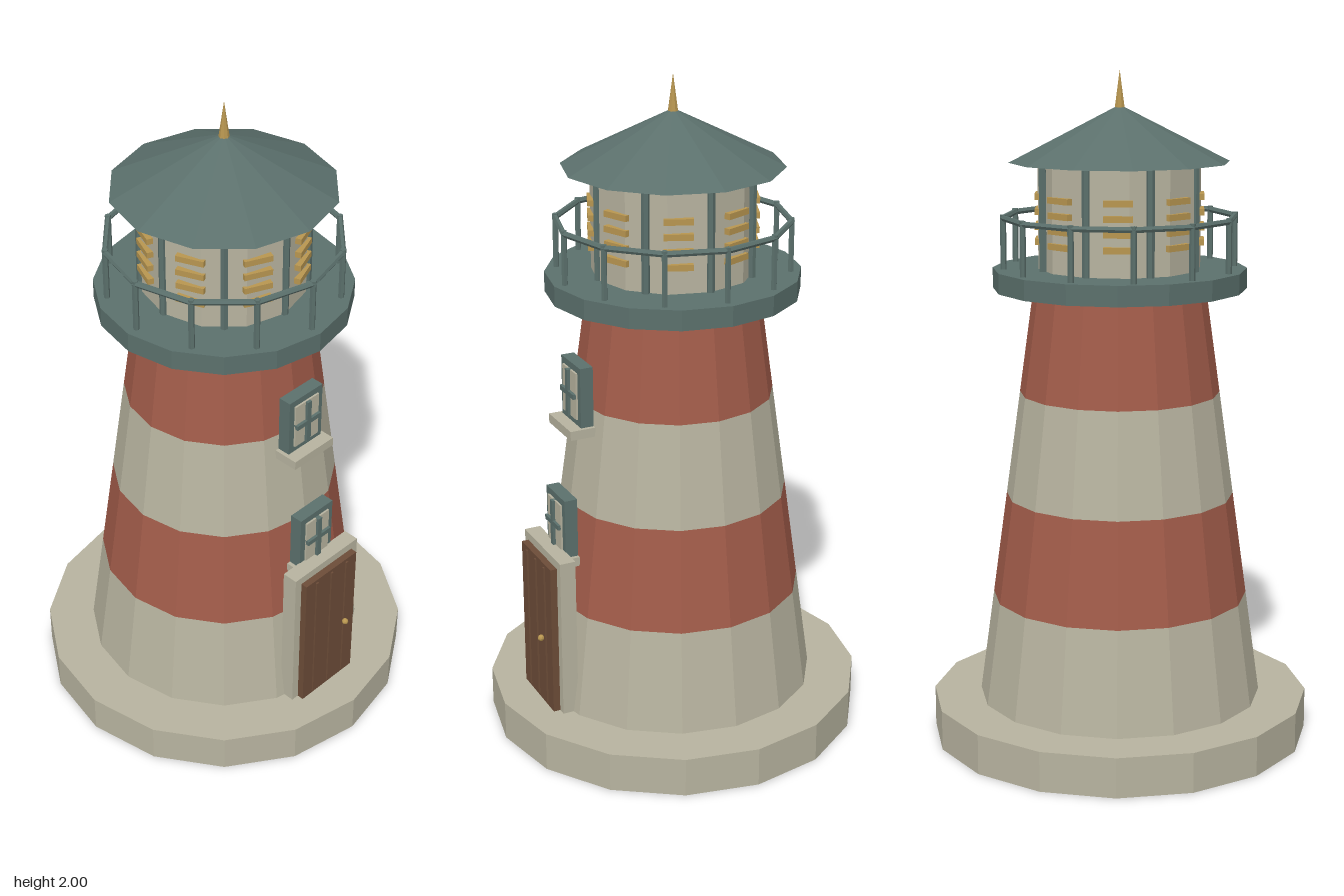
import * as THREE from 'three';

const mat = (name, color) => {
  const m = new THREE.MeshStandardMaterial({ color, flatShading: true });
  m.name = name;
  return m;
};

export function createModel() {
  const cream = mat('cream stone', 0xb7b39f);
  const red = mat('brick red', 0xa25c4a);
  const teal = mat('slate teal', 0x5b706c);
  const brown = mat('door brown', 0x6c4c38);
  const gold = mat('brass', 0xb89650);

  const model = new THREE.Group();
  model.name = 'lighthouse';

  const add = (name, geo, material, x, y, z, parent = model) => {
    const mesh = new THREE.Mesh(geo, material);
    mesh.name = name;
    mesh.position.set(x, y, z);
    parent.add(mesh);
    return mesh;
  };
  // Upright prism or frustum between two heights
  const drum = (name, rBottom, rTop, y0, y1, sides, material) =>
    add(name, new THREE.CylinderGeometry(rTop, rBottom, y1 - y0, sides), material, 0, (y0 + y1) / 2, 0);
  // Box given by its limits, centred on x
  const slab = (name, halfW, y0, y1, z0, z1, material, x = 0, parent = model) =>
    add(name, new THREE.BoxGeometry(halfW * 2, y1 - y0, z1 - z0), material, x, (y0 + y1) / 2, (z0 + z1) / 2, parent);

  // Plinth
  drum('base', 0.57, 0.57, 0, 0.12, 16, cream);

  // Tapering tower in four painted bands
  const y0 = 0.12, y1 = 1.365, rLow = 0.427, rHigh = 0.255;
  const bandHeight = (y1 - y0) / 4;
  const radiusAt = (t) => rLow + (rHigh - rLow) * t;
  for (let i = 0; i < 4; i++) {
    drum('towerBand', radiusAt(i / 4), radiusAt((i + 1) / 4),
      y0 + i * bandHeight, y0 + (i + 1) * bandHeight, 16, i % 2 ? red : cream);
  }

  // Gallery deck, lamp room, roof and finial
  drum('gallery', 0.375, 0.375, 1.365, 1.425, 16, teal);
  drum('lampRoom', 0.24, 0.24, 1.425, 1.735, 12, cream);
  drum('roof', 0.325, 0, 1.735, 1.9, 12, teal);
  drum('finial', 0.017, 0, 1.88, 2, 8, gold);

  // Railing: twelve posts and a twelve-sided handrail
  const railing = new THREE.Group();
  railing.name = 'railing';
  model.add(railing);
  for (let i = 0; i < 12; i++) {
    const a = (i / 12) * Math.PI * 2;
    add('railPost', new THREE.CylinderGeometry(0.009, 0.009, 0.16, 6), teal,
      0.342 * Math.sin(a), 1.505, 0.342 * Math.cos(a), railing);
  }
  const rail = add('handrail', new THREE.TorusGeometry(0.342, 0.009, 6, 12), teal, 0, 1.575, 0, railing);
  rail.rotation.x = Math.PI / 2;

  // Lamp room mullions with brass slats between them
  for (let i = 0; i < 8; i++) {
    const bay = new THREE.Group();
    bay.name = 'lampBay';
    bay.rotation.y = (i / 8) * Math.PI * 2;
    model.add(bay);
    add('mullion', new THREE.CylinderGeometry(0.012, 0.012, 0.31, 6), teal, 0, 1.58, 0.238, bay);
    const slats = new THREE.Group();
    slats.name = 'slats';
    slats.rotation.y = Math.PI / 8;
    bay.add(slats);
    for (let k = 0; k < 4; k++) {
      const y = 1.505 + k * 0.044;
      slab('slat', 0.042, y - 0.009, y + 0.009, 0.225, 0.247, gold, 0, slats);
    }
  }

  // Door with surround, raised plank strips and knob
  slab('doorFrame', 0.135, 0.12, 0.62, 0.385, 0.434, cream);
  slab('door', 0.11, 0.12, 0.595, 0.43, 0.455, brown);
  for (const x of [-0.065, 0, 0.065]) slab('doorStrip', 0.004, 0.13, 0.585, 0.453, 0.46, brown, x);
  add('doorKnob', new THREE.SphereGeometry(0.01, 8, 6), gold, 0.058, 0.35, 0.469);

  // Windows: frame, pane, cross bars and sill
  const addWindow = (y, z) => {
    const win = new THREE.Group();
    win.name = 'window';
    win.position.set(0, y, z);
    model.add(win);
    slab('windowFrame', 0.068, 0, 0.183, -0.04, 0, teal, 0, win);
    slab('windowPane', 0.048, 0.02, 0.163, -0.002, 0.006, cream, 0, win);
    slab('windowBarUpright', 0.008, 0.02, 0.163, 0, 0.015, teal, 0, win);
    slab('windowBarCross', 0.048, 0.084, 0.099, 0, 0.015, teal, 0, win);
    slab('windowSill', 0.08, -0.028, 0, -0.04, 0.038, cream, 0, win);
  };
  addWindow(1.007, 0.33);
  addWindow(0.602, 0.387);

  return model;
}
